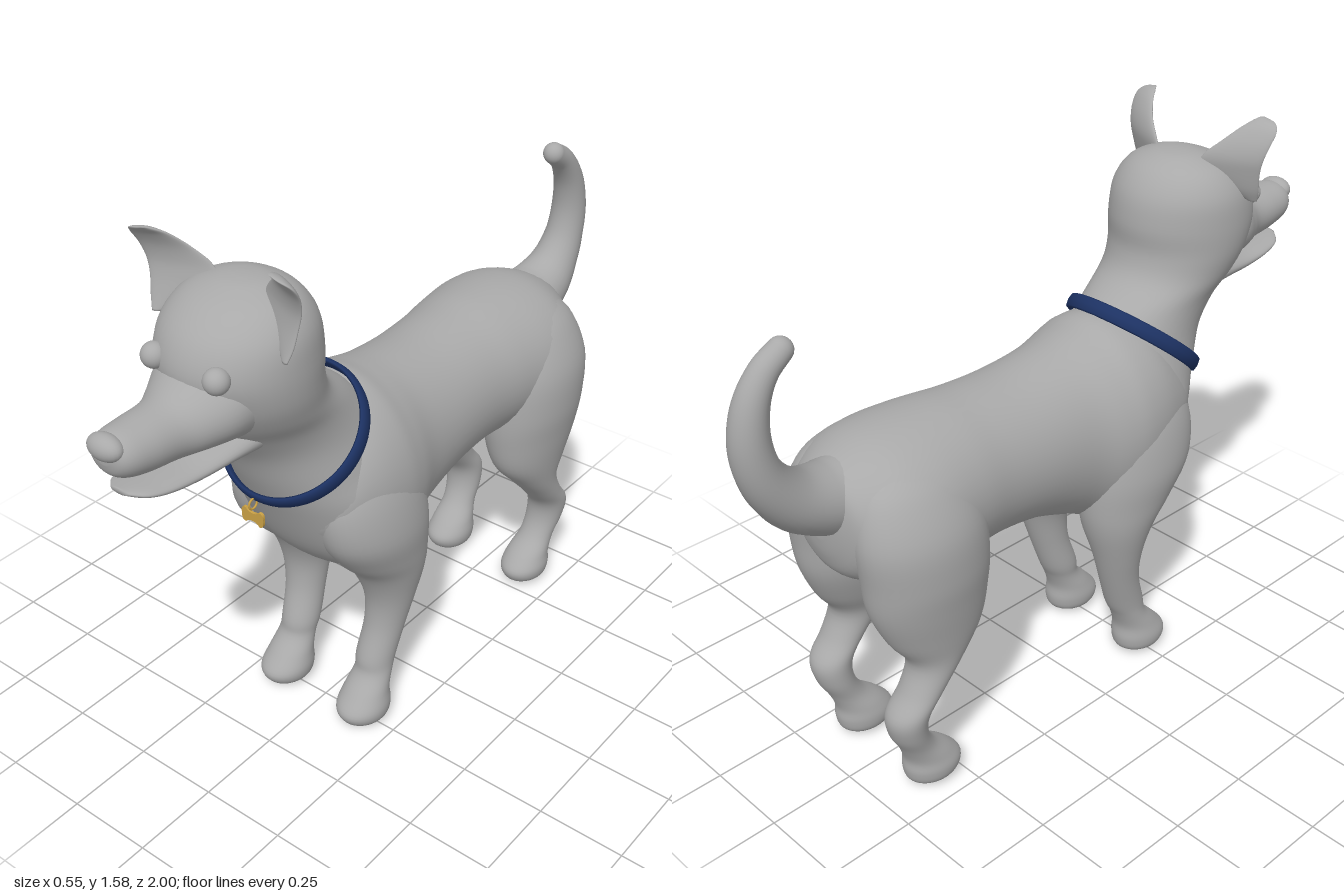
import * as THREE from 'three';

const coat = new THREE.MeshStandardMaterial({ color: 0xa9a9a9 });
coat.name = 'coat grey';
const navy = new THREE.MeshStandardMaterial({ color: 0x1d3263 });
navy.name = 'collar navy';
const gold = new THREE.MeshStandardMaterial({ color: 0xc9a045 });
gold.name = 'tag gold';

const spline = (a, b, c, d, t) =>
  0.5 * (2 * b + (c - a) * t + (2 * a - 5 * b + 4 * c - d) * t * t + (3 * b - a - 3 * c + d) * t * t * t);

// Smooth closed body through elliptical sections [t, u0, u1, v0, v1]; place() maps (t, u, v) to a point.
function loft(rows, place, sides = 40, steps = 5) {
  const pos = [], index = [];
  const last = rows.length - 1;
  const rings = last * steps + 1;
  const at = (i) => rows[Math.min(last, Math.max(0, i))];
  for (let r = 0; r < rings; r++) {
    const i = Math.min(last - 1, Math.floor(r / steps));
    const f = r / steps - i;
    const [t, u0, u1, v0, v1] = rows[0].map((_, k) => spline(at(i - 1)[k], at(i)[k], at(i + 1)[k], at(i + 2)[k], f));
    for (let j = 0; j < sides; j++) {
      const a = (j / sides) * Math.PI * 2;
      pos.push(...place(t, (u0 + u1) / 2 + Math.cos(a) * (u1 - u0) / 2, (v0 + v1) / 2 + Math.sin(a) * (v1 - v0) / 2));
    }
  }
  for (let r = 0; r < rings - 1; r++) {
    for (let j = 0; j < sides; j++) {
      const k = (j + 1) % sides;
      const a = r * sides + j, b = r * sides + k;
      index.push(a, b, b + sides, a, b + sides, a + sides);
    }
  }
  // End caps
  for (const [row, start] of [[rows[0], 0], [rows[last], (rings - 1) * sides]]) {
    const centre = pos.length / 3;
    pos.push(...place(row[0], (row[1] + row[2]) / 2, (row[3] + row[4]) / 2));
    for (let j = 0; j < sides; j++) {
      const a = start + j, b = start + (j + 1) % sides;
      if (start) index.push(centre, a, b);
      else index.push(centre, b, a);
    }
  }
  const g = new THREE.BufferGeometry();
  g.setAttribute('position', new THREE.Float32BufferAttribute(pos, 3));
  g.setIndex(index);
  g.computeVertexNormals();
  return g;
}

// Upright loft: rows [y, zBack, zFront, xInner, xOuter], mirrored by side; lean shears z with x.
function upright(rows, side = 1, lean = 0) {
  const r = rows.map(([y, z0, z1, a, b]) => (side > 0 ? [y, z0, z1, a, b] : [y, z0, z1, -b, -a]));
  return loft(r, (y, z, x) => [x, y, z + lean * (Math.abs(x) - 0.15)]);
}

// Lengthwise loft: rows [z, halfWidth, yBottom, yTop].
const lengthwise = (rows) =>
  loft(rows.map(([z, w, y0, y1]) => [z, -w, w, y0, y1]), (z, x, y) => [x, y, z]);

// Tube along a curve whose radius follows a list of values.
function taperedTube(points, radii) {
  const curve = new THREE.CatmullRomCurve3(points.map(([y, z]) => new THREE.Vector3(0, y, z)));
  const seg = 40, sides = 28;
  const g = new THREE.TubeGeometry(curve, seg, 1, sides);
  const p = g.attributes.position, v = new THREE.Vector3();
  for (let i = 0; i <= seg; i++) {
    const c = curve.getPointAt(i / seg);
    const s = (i / seg) * (radii.length - 1);
    const k = Math.min(radii.length - 2, Math.floor(s));
    const rad = THREE.MathUtils.lerp(radii[k], radii[k + 1], s - k);
    for (let j = 0; j <= sides; j++) {
      const n = i * (sides + 1) + j;
      v.fromBufferAttribute(p, n).sub(c).multiplyScalar(rad).add(c);
      p.setXYZ(n, v.x, v.y, v.z);
    }
  }
  return g;
}

export function createModel() {
  const dog = new THREE.Group();
  dog.name = 'dog';
  const add = (name, geometry, material, x = 0, y = 0, z = 0, parent = dog) => {
    const m = new THREE.Mesh(geometry, material);
    m.name = name;
    m.position.set(x, y, z);
    parent.add(m);
    return m;
  };

  // Trunk from rump to breast
  add('torso', lengthwise([
    [-0.78, 0.03, 0.8, 0.9], [-0.77, 0.09, 0.74, 0.95], [-0.74, 0.16, 0.68, 0.985], [-0.65, 0.23, 0.63, 1.025],
    [-0.55, 0.245, 0.6, 1.04], [-0.42, 0.225, 0.605, 1.04], [-0.3, 0.207, 0.605, 1.03], [-0.15, 0.205, 0.585, 1.025],
    [0, 0.212, 0.53, 1.04], [0.1, 0.24, 0.49, 1.06], [0.18, 0.25, 0.5, 1.08], [0.28, 0.235, 0.55, 1.06],
    [0.38, 0.19, 0.65, 0.96], [0.43, 0.1, 0.72, 0.86],
  ]), coat);

  // Chest, neck and skull in one upright form
  add('neckAndHead', upright([
    [0.5, 0.1, 0.24, -0.1, 0.1], [0.56, 0.05, 0.32, -0.2, 0.2], [0.65, 0, 0.395, -0.245, 0.245],
    [0.8, 0.02, 0.468, -0.235, 0.235], [0.9, 0.06, 0.515, -0.2, 0.2], [1, 0.12, 0.56, -0.17, 0.17],
    [1.08, 0.2, 0.62, -0.165, 0.165], [1.15, 0.295, 0.675, -0.182, 0.182], [1.22, 0.327, 0.715, -0.197, 0.197],
    [1.3, 0.325, 0.738, -0.2, 0.2], [1.38, 0.34, 0.71, -0.188, 0.188], [1.44, 0.382, 0.645, -0.145, 0.145],
    [1.472, 0.44, 0.57, -0.075, 0.075], [1.48, 0.49, 0.52, -0.02, 0.02],
  ]), coat);

  // Face
  add('muzzle', lengthwise([
    [0.58, 0.15, 1.1, 1.36], [0.67, 0.145, 1.115, 1.345], [0.74, 0.112, 1.12, 1.3], [0.8, 0.083, 1.125, 1.277],
    [0.88, 0.076, 1.135, 1.272], [0.94, 0.068, 1.15, 1.268], [0.97, 0.05, 1.17, 1.255], [0.98, 0.02, 1.2, 1.23],
  ]), coat);
  add('lowerJaw', lengthwise([
    [0.55, 0.11, 1.04, 1.16], [0.66, 0.098, 1.053, 1.13], [0.76, 0.084, 1.055, 1.112], [0.85, 0.076, 1.068, 1.112],
    [0.91, 0.06, 1.086, 1.115], [0.945, 0.025, 1.102, 1.117],
  ]), coat);
  add('nose', new THREE.SphereGeometry(1, 24, 16), coat, 0, 1.24, 0.968).scale.set(0.05, 0.033, 0.032);

  for (const s of [1, -1]) {
    const tag = s > 0 ? 'left' : 'right';
    add(tag + 'Eye', new THREE.SphereGeometry(0.033, 24, 16), coat, s * 0.098, 1.322, 0.712);

    // Ear: thin upright leaf curling forward at the top
    add(tag + 'Ear', upright([
      [1.355, 0.57, 0.582, 0.19, 0.212], [1.39, 0.55, 0.572, 0.14, 0.223], [1.44, 0.535, 0.56, 0.075, 0.231],
      [1.48, 0.53, 0.555, 0.085, 0.24], [1.52, 0.54, 0.562, 0.123, 0.249], [1.555, 0.56, 0.582, 0.155, 0.252],
      [1.575, 0.58, 0.604, 0.175, 0.235], [1.584, 0.6, 0.612, 0.187, 0.2],
    ], s, 0.4), coat);

    // Front leg with shoulder and paw
    add(tag + 'FrontLeg', upright([
      [0, 0.215, 0.29, 0.115, 0.17], [0.02, 0.175, 0.325, 0.08, 0.207], [0.055, 0.165, 0.337, 0.07, 0.216],
      [0.1, 0.168, 0.3, 0.077, 0.206], [0.15, 0.152, 0.255, 0.086, 0.197], [0.2, 0.128, 0.245, 0.083, 0.196],
      [0.3, 0.095, 0.215, 0.087, 0.206], [0.4, 0.065, 0.215, 0.078, 0.225], [0.5, 0.035, 0.255, 0.045, 0.248],
      [0.58, 0.025, 0.325, 0.03, 0.262], [0.68, 0.03, 0.39, 0.03, 0.272], [0.8, 0.05, 0.4, 0.03, 0.25],
      [0.9, 0.11, 0.35, 0.05, 0.2], [0.94, 0.18, 0.28, 0.08, 0.15],
    ], s), coat);

    // Hind leg with thigh, hock and paw
    add(tag + 'HindLeg', upright([
      [0.005, -0.62, -0.54, 0.115, 0.17], [0.025, -0.655, -0.505, 0.085, 0.207], [0.06, -0.665, -0.493, 0.077, 0.217],
      [0.1, -0.664, -0.525, 0.085, 0.21], [0.15, -0.682, -0.582, 0.1, 0.205], [0.21, -0.713, -0.61, 0.1, 0.215],
      [0.275, -0.72, -0.605, 0.1, 0.226], [0.34, -0.672, -0.555, 0.102, 0.23], [0.42, -0.645, -0.48, 0.09, 0.236],
      [0.5, -0.695, -0.41, 0.055, 0.248], [0.6, -0.738, -0.385, 0.025, 0.264], [0.7, -0.752, -0.38, 0.015, 0.276],
      [0.82, -0.762, -0.39, 0.01, 0.268], [0.93, -0.73, -0.43, 0.02, 0.215], [0.99, -0.66, -0.5, 0.05, 0.15],
    ], s), coat);
  }

  // Tail sweeping up and curling forward
  add('tail', taperedTube([
    [0.9, -0.68], [0.91, -0.77], [0.95, -0.855], [1.03, -0.92], [1.13, -0.945], [1.23, -0.93], [1.3, -0.888], [1.337, -0.838],
  ], [0.1, 0.095, 0.082, 0.066, 0.056, 0.052, 0.046, 0.038, 0.032]), coat);
  add('tailTip', new THREE.SphereGeometry(0.032, 24, 16), coat, 0, 1.337, -0.838);

  // Tilted collar band with rounded edges
  const band = [[0.19, -0.018], [0.196, -0.022], [0.204, -0.018], [0.207, 0], [0.204, 0.018], [0.196, 0.022], [0.19, 0.018], [0.19, -0.018]];
  add('collar', new THREE.LatheGeometry(band.map(([x, y]) => new THREE.Vector2(x, y)), 64), navy, 0, 0.97, 0.347).rotation.x = 0.697;

  // Hanging tag: ring and small bone plate
  add('tagRing', new THREE.TorusGeometry(0.015, 0.003, 8, 24), gold, 0, 0.832, 0.514).rotation.y = Math.PI / 2;
  const bone = new THREE.Shape();
  bone.moveTo(0, 0.012);
  for (const [cx, cy, x, y] of [
    [0.015, 0.012, 0.022, 0.022], [0.038, 0.024, 0.036, 0.002], [0.038, -0.024, 0.022, -0.022], [0.015, -0.012, 0, -0.012],
    [-0.015, -0.012, -0.022, -0.022], [-0.038, -0.024, -0.036, 0.002], [-0.038, 0.024, -0.022, 0.022], [-0.015, 0.012, 0, 0.012],
  ]) bone.quadraticCurveTo(cx, cy, x, y);
  add('boneTag', new THREE.ExtrudeGeometry(bone, { depth: 0.008, bevelEnabled: false, curveSegments: 8 }), gold, 0, 0.793, 0.511);

  return dog;
}
